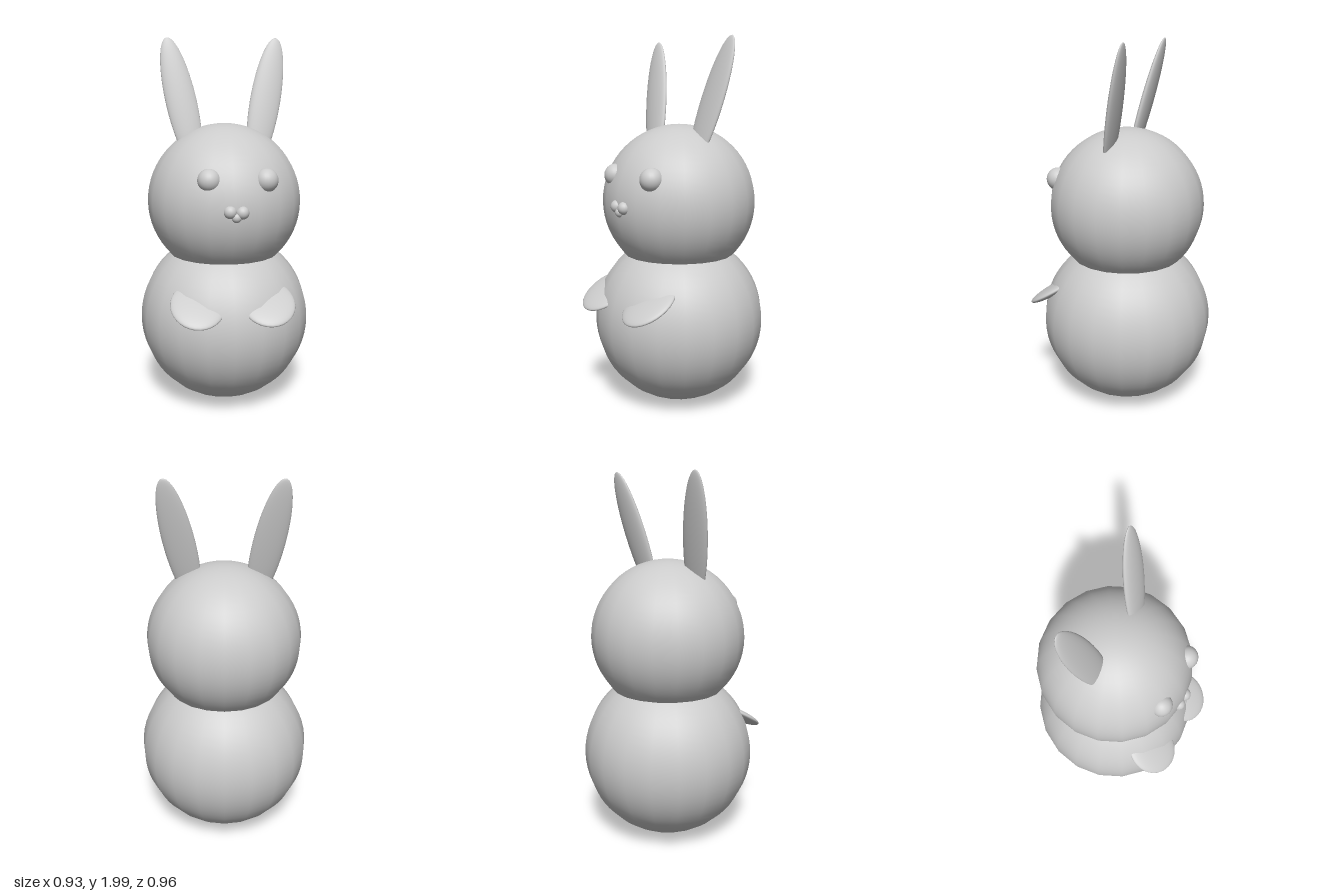
import * as THREE from 'three';

const material = new THREE.MeshStandardMaterial({ color: 0xcccccc });

// A sphere stretched to the given radii, placed and turned
function ellipsoid(name, radii, position, rotation = [0, 0, 0], segments = [20, 32]) {
  const geometry = new THREE.SphereGeometry(1, ...segments);
  geometry.scale(...radii);
  const mesh = new THREE.Mesh(geometry, material);
  mesh.name = name;
  mesh.position.set(...position);
  mesh.rotation.set(...rotation);
  return mesh;
}

const ball = (name, r, position, segments) => ellipsoid(name, [r, r, r], position, undefined, segments);

export function createModel() {
  const group = new THREE.Group();
  group.name = 'rabbit';

  // Stacked body and head
  group.add(ball('body', 0.467, [0, 0.475, -0.015]));
  group.add(ball('head', 0.418, [0, 1.13, -0.015]));

  // Ears and paws, mirrored
  for (const [side, s] of [['left', 1], ['right', -1]]) {
    group.add(ellipsoid(side + 'Ear', [0.083, 0.355, 0.025],
      [s * 0.228, 1.66, -0.04], [-0.217, 0, s * -0.2], [32, 32]));
    group.add(ellipsoid(side + 'Paw', [0.142, 0.029, 0.16],
      [s * 0.183, 0.643, 0.345], [0.56, 0, 0], [32, 20]));
  }

  // Eyes, set slightly off centre
  group.add(ball('leftEye', 0.062, [0.172, 1.278, 0.313], [24, 20]));
  group.add(ball('rightEye', 0.06, [-0.12, 1.283, 0.325], [24, 20]));

  // Muzzle: two cheeks over a small chin
  group.add(ball('leftCheek', 0.034, [0.04, 1.128, 0.388], [20, 16]));
  group.add(ball('rightCheek', 0.034, [-0.022, 1.132, 0.388], [20, 16]));
  group.add(ball('chin', 0.026, [0.009, 1.104, 0.392], [20, 16]));

  return group;
}
